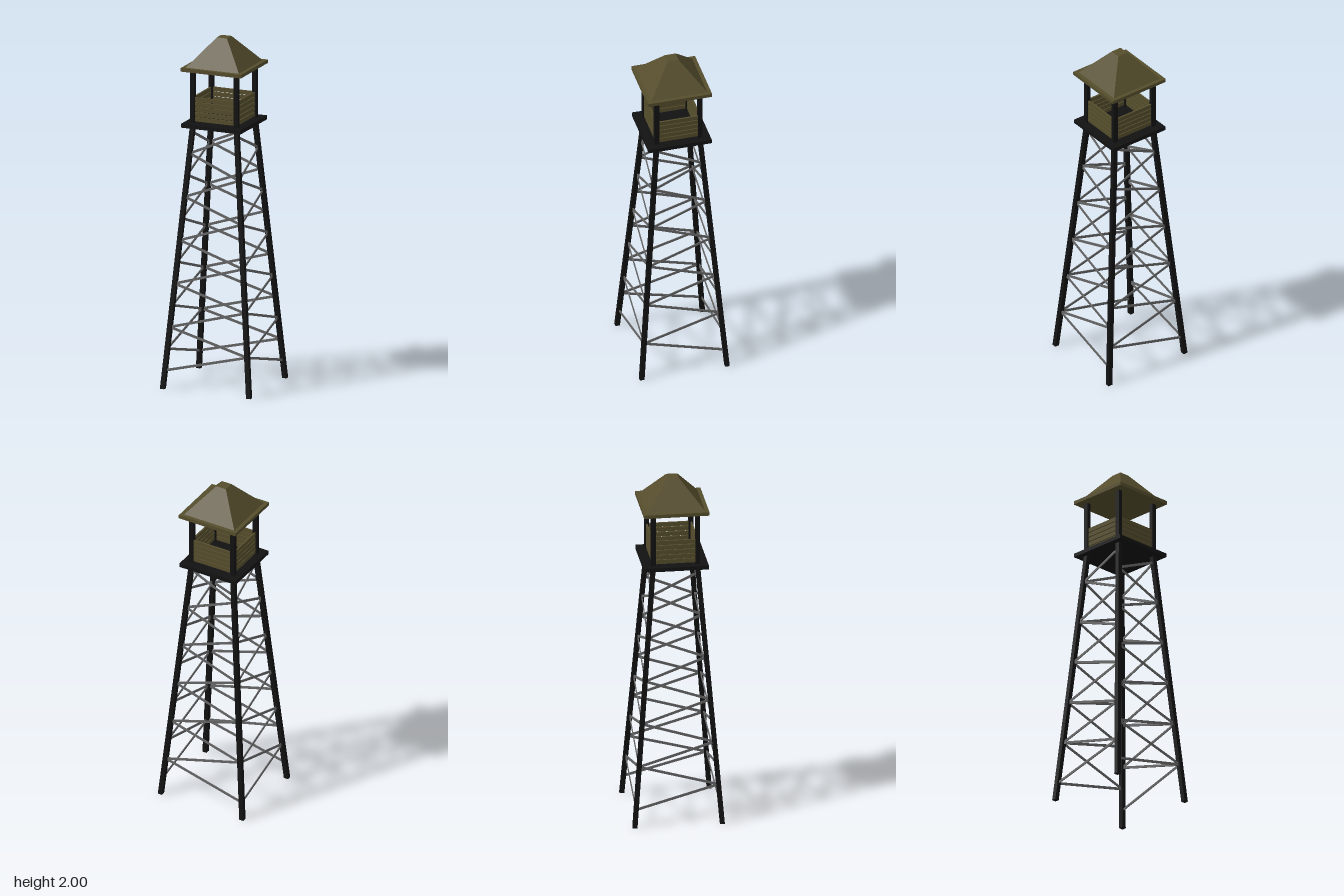
import * as THREE from 'three';

const dark = new THREE.MeshStandardMaterial({ color: 0x121213 });
const olive = new THREE.MeshStandardMaterial({ color: 0x554d2c });
const steel = new THREE.MeshStandardMaterial({ color: 0x666666 });

const FOOT = { x: 0.263, z: 0.246 }; // leg centre on the ground
const POST = { x: 0.133, z: 0.125 }; // leg centre at the platform and above
const DECK_Y = 1.51;
const WIDTH = 0.026;

function box(name, w, h, d, x, y, z, material) {
  const mesh = new THREE.Mesh(new THREE.BoxGeometry(w, h, d), material);
  mesh.position.set(x, y, z);
  mesh.name = name;
  return mesh;
}

// Centre of a leg at height y, for the corner with signs sx, sz
function legAt(y, sx, sz) {
  const t = Math.min(y / DECK_Y, 1);
  return new THREE.Vector3(
    sx * THREE.MathUtils.lerp(FOOT.x, POST.x, t), y,
    sz * THREE.MathUtils.lerp(FOOT.z, POST.z, t));
}

// Square leg sheared inwards, so its ends stay level
function makeLeg(sx, sz) {
  const geometry = new THREE.BoxGeometry(WIDTH, DECK_Y, WIDTH);
  geometry.translate(0, DECK_Y / 2, 0);
  const p = geometry.attributes.position;
  for (let i = 0; i < p.count; i++) {
    const c = legAt(p.getY(i), sx, sz);
    p.setX(i, p.getX(i) + c.x);
    p.setZ(i, p.getZ(i) + c.z);
  }
  geometry.computeVertexNormals();
  const mesh = new THREE.Mesh(geometry, dark);
  mesh.name = 'leg';
  return mesh;
}

// Thin flat bar between two points, facing outwards
function makeBrace(a, b, outward) {
  const along = b.clone().sub(a);
  const mesh = new THREE.Mesh(new THREE.BoxGeometry(along.length(), 0.014, 0.005), steel);
  const x = along.normalize();
  const y = new THREE.Vector3().crossVectors(outward, x).normalize();
  const z = new THREE.Vector3().crossVectors(x, y);
  mesh.quaternion.setFromRotationMatrix(new THREE.Matrix4().makeBasis(x, y, z));
  mesh.position.copy(a).add(b).multiplyScalar(0.5);
  mesh.name = 'brace';
  return mesh;
}

export function createModel() {
  const tower = new THREE.Group();
  tower.name = 'watchtower';

  // Four legs, each continued by an upright post
  const legs = new THREE.Group();
  legs.name = 'legs';
  for (const sx of [-1, 1]) for (const sz of [-1, 1]) {
    legs.add(makeLeg(sx, sz));
    legs.add(box('post', WIDTH, 1.83 - DECK_Y, WIDTH,
      sx * POST.x, (1.83 + DECK_Y) / 2, sz * POST.z, dark));
  }
  tower.add(legs);

  // Zigzag bracing on all four sides
  const bracing = new THREE.Group();
  bracing.name = 'bracing';
  const level = (i) => 0.104 + 0.124 * i;
  for (const s of [-1, 1]) for (let i = 0; i < 11; i++) {
    const from = i % 2 ? 1 : -1;
    bracing.add(makeBrace(legAt(level(i), from, s), legAt(level(i + 1), -from, s),
      new THREE.Vector3(0, 0, s)));
    bracing.add(makeBrace(legAt(level(i), s, from), legAt(level(i + 1), s, -from),
      new THREE.Vector3(s, 0, 0)));
  }
  tower.add(bracing);

  // Platform
  tower.add(box('platform', 0.364, 0.022, 0.364, 0.001, DECK_Y, 0.001, dark));

  // Plank railing between the posts
  const railing = new THREE.Group();
  railing.name = 'railing';
  for (let i = 0; i < 5; i++) {
    const y = 1.541 + i * 0.0285;
    for (const s of [-1, 1]) {
      railing.add(box('plank', 2 * POST.x - WIDTH, 0.024, 0.01, 0, y, s * POST.z, olive));
      railing.add(box('plank', 0.01, 0.024, 2 * POST.z - WIDTH, s * POST.x, y, 0, olive));
    }
  }
  tower.add(railing);

  // Roof: flat eaves under a truncated pyramid
  const roof = new THREE.Group();
  roof.name = 'roof';
  roof.add(box('eaves', 0.368, 0.02, 0.368, 0, 1.833, 0, olive));
  const hip = new THREE.CylinderGeometry(0.031 * Math.SQRT2, 0.162 * Math.SQRT2, 0.157, 4)
    .rotateY(Math.PI / 4).toNonIndexed();
  hip.computeVertexNormals();
  const pyramid = new THREE.Mesh(hip, olive);
  pyramid.position.y = 1.9215;
  pyramid.name = 'roofSlopes';
  roof.add(pyramid);
  roof.position.set(0.002, 0, 0.002);
  tower.add(roof);

  return tower;
}
